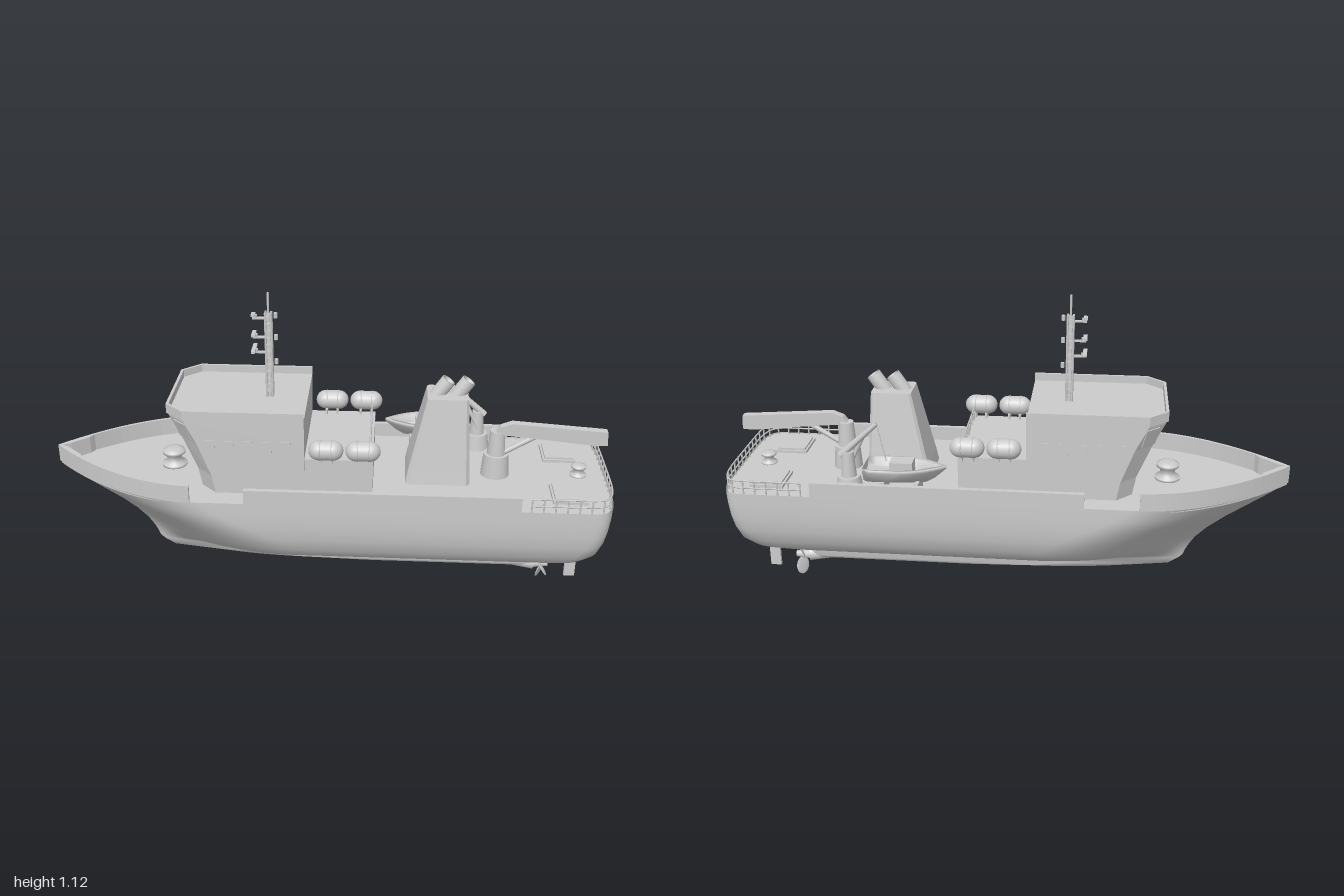
import * as THREE from 'three';

const mat = new THREE.MeshStandardMaterial({ color: 0xcccccc, side: THREE.DoubleSide });
const flat = new THREE.MeshStandardMaterial({ color: 0xcccccc, flatShading: true, side: THREE.DoubleSide });

export function createModel() {
  const ship = new THREE.Group();
  ship.name = 'ship';

  const add = (name, geo, x = 0, y = 0, z = 0, m = mat, parent = ship) => {
    const mesh = new THREE.Mesh(geo, m);
    mesh.name = name;
    mesh.position.set(x, y, z);
    parent.add(mesh);
    return mesh;
  };
  const box = (name, w, h, d, x, y, z) => add(name, new THREE.BoxGeometry(w, h, d), x, y, z);
  const cyl = (name, r1, r2, h, x, y, z) => add(name, new THREE.CylinderGeometry(r1, r2, h, 24), x, y, z);
  // Round bar between two points
  const bar = (name, a, b, r, r2 = r, seg = 8) => {
    const p = new THREE.Vector3(...a), q = new THREE.Vector3(...b), d = q.clone().sub(p);
    const mesh = add(name, new THREE.CylinderGeometry(r2, r, d.length(), seg));
    mesh.position.copy(p).add(q).multiplyScalar(0.5);
    mesh.quaternion.setFromUnitVectors(new THREE.Vector3(0, 1, 0), d.normalize());
    return mesh;
  };
  // Skin over closed rings [y, [[x, z], ...]], optionally capped
  const loft = (rings, capped = true) => {
    const n = rings[0][1].length, pos = [], idx = [];
    for (const [y, pts] of rings) for (const [x, z] of pts) pos.push(x, y, z);
    for (let j = 0; j < rings.length - 1; j++) for (let i = 0; i < n; i++) {
      const k = (i + 1) % n, a = j * n + i, b = j * n + k;
      idx.push(a, b, a + n, b, b + n, a + n);
    }
    const top = (rings.length - 1) * n;
    if (capped) for (let i = 1; i < n - 1; i++) idx.push(top, top + i, top + i + 1, 0, i + 1, i);
    const g = new THREE.BufferGeometry();
    g.setAttribute('position', new THREE.Float32BufferAttribute(pos, 3));
    g.setIndex(idx);
    g.computeVertexNormals();
    return g;
  };
  // Upright wall or slab from a plan outline
  const slab = (pts, h) => {
    const shape = new THREE.Shape(pts.map(([x, z]) => new THREE.Vector2(x, -z)));
    return new THREE.ExtrudeGeometry(shape, { depth: h, bevelEnabled: false }).rotateX(-Math.PI / 2);
  };
  const mirror = (pts) => pts.map(([x, z]) => [x, -z]).reverse();

  // Hull waterlines: height, half width, stem x, bow length, stern x, corner length, corner power
  const levels = [
    [0.066, 0.002, 0.1, 0.3, 0.76, 0.05, 2], [0.072, 0.022, -0.1, 0.3, 0.77, 0.05, 2],
    [0.082, 0.027, -0.38, 0.3, 0.77, 0.05, 2], [0.105, 0.03, -0.59, 0.35, 0.77, 0.05, 2],
    [0.13, 0.035, -0.63, 0.4, 0.775, 0.06, 2], [0.145, 0.06, -0.645, 0.45, 0.88, 0.3, 2],
    [0.165, 0.115, -0.652, 0.5, 0.92, 0.25, 2.2], [0.19, 0.185, -0.665, 0.55, 0.945, 0.22, 2.6],
    [0.22, 0.232, -0.685, 0.58, 0.962, 0.18, 3.2], [0.26, 0.262, -0.725, 0.6, 0.975, 0.15, 4],
    [0.31, 0.277, -0.79, 0.6, 0.985, 0.13, 4.5], [0.36, 0.284, -0.865, 0.58, 0.99, 0.12, 5],
    [0.41, 0.286, -0.94, 0.56, 0.995, 0.12, 5], [0.455, 0.286, -1, 0.56, 0.997, 0.12, 5],
  ];
  const waterline = ([, w, xs, len, xe, r, n]) => {
    const pts = [];
    for (let i = 0; i < 20; i++) pts.push([xs + len * i / 20, w * (1 - (1 - i / 20) ** 2)]);
    for (let i = 0; i < 24; i++) pts.push([xs + len + (xe - r - xs - len) * i / 24, w]);
    for (let i = 0; i <= 16; i++) {
      const a = Math.PI / 2 * i / 16;
      pts.push([xe - r + r * Math.sin(a) ** (2 / n), w * Math.max(0, Math.cos(a)) ** (2 / n)]);
    }
    return pts;
  };
  add('hull', loft(levels.map((l) => { const h = waterline(l); return [l[0], [...h, ...mirror(h)]]; }), false));
  const edge = waterline(levels[levels.length - 1]);
  const inner = edge.map(([x, z]) => [x < -0.9 ? x + 0.016 : x, Math.max(0, z - 0.012)]);
  add('deck', slab([...edge, ...mirror(edge)].map(([x, z]) => [x * 0.995, z * 0.99]), 0.008), 0, 0.444, 0);

  // Bulwarks
  const cut = (pts, a, b) => pts.filter(([x]) => x >= a && x <= b);
  const bow = cut(edge, -1, -0.44), bowIn = cut(inner, -1, -0.44);
  add('bowBulwark', slab([...mirror(bow), ...bow.slice(1), ...bowIn.slice().reverse(), ...mirror(bowIn).reverse().slice(1)], 0.065), 0, 0.453, 0);
  for (const s of [1, -1]) {
    box('sideBulwark', 0.95, 0.055, 0.012, 0.195, 0.478, s * 0.28);
    box('bulwarkCap', 0.95, 0.005, 0.018, 0.195, 0.505, s * 0.278);
  }

  // Rails
  const rail = (name, pts, y, h, every) => {
    for (const k of [0.5, 1]) {
      const path = new THREE.CatmullRomCurve3(pts.map(([x, z]) => new THREE.Vector3(x, y + h * k, z)), false, 'centripetal');
      add(name, new THREE.TubeGeometry(path, 80, 0.003, 6));
    }
    const path = new THREE.CatmullRomCurve3(pts.map(([x, z]) => new THREE.Vector3(x, y, z)), false, 'centripetal');
    for (const p of path.getSpacedPoints(every)) bar(name + 'Post', [p.x, y, p.z], [p.x, y + h, p.z], 0.003, 0.003, 6);
  };
  const aft = cut(edge, 0.66, 1).map(([x, z]) => [x - 0.008, z * 0.975]);
  rail('sternRail', [...aft, ...mirror(aft).slice(1)], 0.45, 0.052, 26);
  rail('houseRail', [[0.15, 0.19], [0.15, 0.06], [0.15, -0.06], [0.15, -0.19]], 0.59, 0.045, 8);

  // Wheelhouse and aft deckhouse
  const house = (xf, xc, w = 0.205, zf = 0.15) => [[xc, w], [-0.075, w], [-0.075, -w], [xc, -w], [xf, -zf], [xf, zf]];
  add('wheelhouse', loft([[0.44, house(-0.44, -0.385)], [0.52, house(-0.455, -0.4)], [0.64, house(-0.505, -0.445)],
    [0.72, house(-0.545, -0.485)], [0.738, house(-0.55, -0.49)]]), 0, 0, 0, flat);
  const rim = house(-0.555, -0.49, 0.21), rimIn = house(-0.545, -0.486, 0.2, 0.146);
  const around = (r) => [r[1], r[0], r[5], r[4], r[3], r[2]];
  add('roofParapet', slab([...around(rim), ...around(rimIn).reverse()], 0.035), 0, 0.73, 0, flat);
  box('aftDeckhouse', 0.24, 0.145, 0.4, 0.042, 0.517, 0);
  const pane = (x, y, z, w, h, yaw, lean) => {
    const p = box('window', 0.006, h, w, x, y, z);
    p.rotation.set(0, yaw, lean, 'YXZ');
  };
  for (const z of [-0.095, 0, 0.095]) pane(-0.526, 0.682, z, 0.08, 0.07, 0, 0.46);
  for (const s of [1, -1]) {
    pane(-0.496, 0.682, s * 0.178, 0.06, 0.07, s * 0.83, 0.33);
    for (let i = 0; i < 5; i++) box('window', 0.032, 0.05, 0.004, -0.4 + i * 0.066, 0.63, s * 0.205);
  }

  // Life raft canisters on cradles
  for (const s of [1, -1]) for (const x of [0, 0.127]) {
    add('raftCanister', new THREE.CapsuleGeometry(0.035, 0.05, 8, 20).rotateZ(Math.PI / 2), x, 0.632, s * 0.21);
    for (const d of [-0.02, 0.02]) {
      add('raftStrap', new THREE.TorusGeometry(0.035, 0.002, 6, 20).rotateY(Math.PI / 2), x + d, 0.632, s * 0.21);
      box('raftCradle', 0.008, 0.025, 0.05, x + d, 0.595, s * 0.195);
    }
  }

  // Mast
  for (const x of [-0.22, -0.2]) for (const z of [-0.01, 0.01]) bar('mastLeg', [x, 0.735, z], [x, 1.05, z], 0.004);
  box('mastCore', 0.012, 0.31, 0.012, -0.21, 0.892, 0);
  for (let i = 0; i < 12; i++) box('mastRung', 0.025, 0.004, 0.026, -0.21, 0.76 + i * 0.025, 0);
  bar('mastPole', [-0.21, 1.04, 0], [-0.21, 1.12, 0], 0.004);
  for (const [y, w] of [[0.915, 0.08], [0.97, 0.05], [1.04, 0.03]]) {
    box('mastBracket', 0.05, 0.006, 0.012, -0.24, y - 0.012, 0);
    box('radarBar', 0.014, 0.008, w, -0.262, y, 0);
    bar('radarStand', [-0.255, y - 0.015, 0], [-0.255, y, 0], 0.007);
  }
  for (const y of [0.86, 0.95, 1.03]) bar('mastLamp', [-0.185, y, 0], [-0.185, y + 0.018, 0], 0.007);

  // Funnel with chamfered corners and two exhausts
  const ring = (a, b, w, c) => [[a + c, w], [b - c, w], [b, w - c], [b, c - w], [b - c, -w], [a + c, -w], [a, c - w], [a, w - c]];
  add('funnel', loft([[0.445, ring(0.275, 0.505, 0.108, 0.012)], [0.5, ring(0.285, 0.502, 0.1, 0.012)],
    [0.765, ring(0.345, 0.488, 0.065, 0.008)]]), 0, 0, 0, flat);
  for (const x of [0.375, 0.445]) {
    const tube = new THREE.LatheGeometry([[0.026, -0.04], [0.026, 0.05], [0.02, 0.05], [0.02, 0.02], [0, 0.02]].map((p) => new THREE.Vector2(...p)), 20);
    add('exhaustPipe', tube, x + 0.015, 0.772, 0).rotation.z = -0.6;
  }

  // Rescue boat: skin runs up the outside and down into the well
  const boatRing = (k, x0) => {
    const h = [];
    for (let i = 0; i <= 8; i++) h.push([x0 + 0.16 * i / 8, 0.068 * k * (1 - (1 - i / 8) ** 2) + 0.001]);
    h.push([0.46, 0.068 * k], [0.485, 0.055 * k]);
    return [...h, ...mirror(h)];
  };
  add('rescueBoat', loft([[0.497, boatRing(0.3, 0.27)], [0.515, boatRing(0.75, 0.24)], [0.55, boatRing(1, 0.2)],
    [0.56, boatRing(0.98, 0.2)], [0.558, boatRing(0.8, 0.225)], [0.53, boatRing(0.75, 0.23)]]), 0, 0, -0.21);
  box('boatConsole', 0.08, 0.05, 0.06, 0.355, 0.55, -0.21);
  for (const x of [0.3, 0.42]) box('boatCradle', 0.015, 0.06, 0.09, x, 0.476, -0.21);

  // Boat davit
  cyl('davitBase', 0.04, 0.05, 0.06, 0.545, 0.48, -0.21);
  cyl('davitPost', 0.02, 0.028, 0.1, 0.545, 0.55, -0.21);
  bar('davitArm', [0.57, 0.585, -0.21], [0.44, 0.705, -0.205], 0.014, 0.008);
  bar('davitRam', [0.55, 0.53, -0.19], [0.49, 0.655, -0.2], 0.007);
  bar('davitFall', [0.44, 0.705, -0.205], [0.41, 0.57, -0.21], 0.002);

  // Deck crane
  cyl('cranePedestal', 0.045, 0.052, 0.09, 0.6, 0.49, 0.005);
  cyl('craneColumn', 0.026, 0.034, 0.1, 0.6, 0.575, 0.005);
  const boom = new THREE.Shape([[0.59, 0.618], [0.61, 0.645], [0.65, 0.66], [0.985, 0.636], [0.988, 0.585], [0.95, 0.582], [0.78, 0.6]].map((p) => new THREE.Vector2(...p)));
  add('craneBoom', new THREE.ExtrudeGeometry(boom, { depth: 0.03, bevelEnabled: false }), 0, 0, -0.005);
  bar('craneRam', [0.625, 0.54, 0.01], [0.74, 0.61, 0.01], 0.01);

  // Capstans and deck hatches
  for (const [x, r] of [[-0.57, 0.045], [0.9, 0.03]]) {
    const profile = [[0, 0], [1, 0], [1, 0.25], [0.6, 0.4], [0.6, 0.9], [0.9, 1.1], [0.9, 1.35], [0.5, 1.5], [0, 1.5]];
    add('capstan', new THREE.LatheGeometry(profile.map(([a, b]) => new THREE.Vector2(a * r, b * r)), 24), x, 0.45, 0);
  }
  for (const s of [1, -1]) {
    box('hatchCoaming', 0.12, 0.012, 0.13, 0.845, 0.456, s * 0.155);
    box('hatchLid', 0.105, 0.008, 0.115, 0.845, 0.465, s * 0.155);
  }

  // Propeller, shaft boss and rudder
  bar('shaftBoss', [0.62, 0.085, 0], [0.77, 0.075, 0], 0.012, 0.028, 20);
  bar('propellerHub', [0.765, 0.072, 0], [0.825, 0.07, 0], 0.02, 0.012, 16);
  for (let i = 0; i < 3; i++) {
    const arm = new THREE.Group();
    arm.name = 'propellerBlade';
    arm.position.set(0.8, 0.07, 0);
    arm.rotation.x = Math.PI / 2 - 0.1 + i * Math.PI * 2 / 3;
    ship.add(arm);
    const blade = add('blade', new THREE.SphereGeometry(1, 16, 10), 0, 0.043, 0, mat, arm);
    blade.scale.set(0.004, 0.034, 0.03);
    blade.rotation.y = 0.6;
  }
  cyl('rudderStock', 0.021, 0.021, 0.07, 0.91, 0.165, 0);
  box('rudderBlade', 0.04, 0.12, 0.012, 0.91, 0.08, 0);

  return ship;
}
